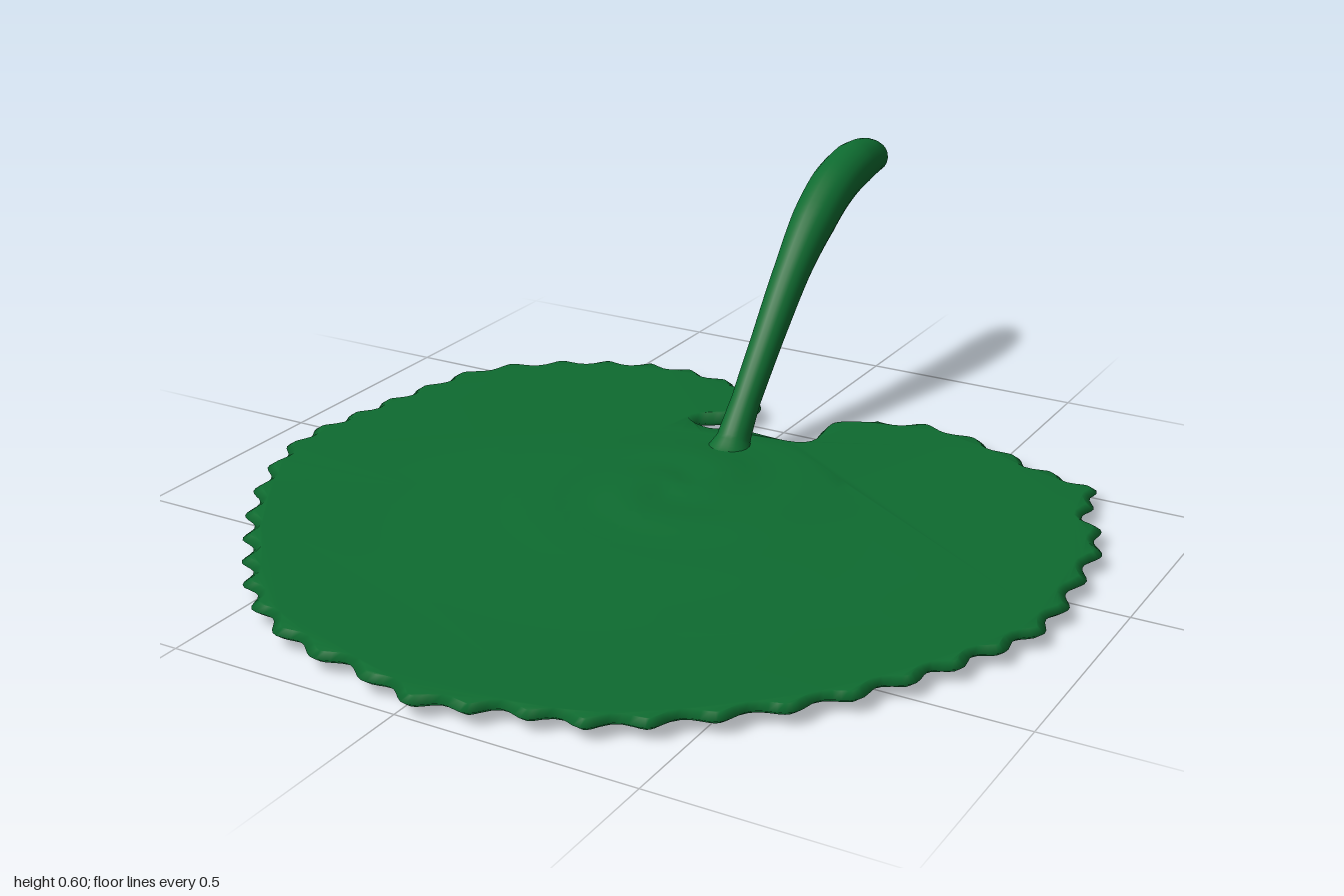
import * as THREE from 'three';
import { mergeVertices } from 'three/addons/utils/BufferGeometryUtils.js';

const green = new THREE.MeshStandardMaterial({ color: 0x0e6b30, roughness: 0.8 });

// Leaf outline (x, z): starts right of the notch, runs round the front and back into the notch
const OUTLINE = [
  [0.11, -0.37], [0.11, -0.52], [0.2, -0.58], [0.32, -0.62], [0.48, -0.58], [0.6, -0.52], [0.76, -0.46],
  [0.78, -0.35], [0.85, -0.24], [0.88, -0.05], [0.89, 0.19], [0.83, 0.35], [0.77, 0.47], [0.66, 0.64],
  [0.52, 0.78], [0.36, 0.9], [0.2, 0.94], [0.04, 0.99], [-0.12, 0.95], [-0.28, 0.92], [-0.46, 0.82],
  [-0.64, 0.62], [-0.75, 0.47], [-0.84, 0.3], [-0.89, 0.13], [-0.87, -0.05], [-0.84, -0.22],
  [-0.79, -0.41], [-0.68, -0.53], [-0.55, -0.61], [-0.38, -0.66], [-0.2, -0.63], [-0.08, -0.54],
  [-0.085, -0.45], [-0.165, -0.38], [-0.1, -0.34], [-0.05, -0.365],
];

// Shift every point of a closed loop along its outward normal
function offsetLoop(loop, amount) {
  const n = loop.length;
  return loop.map((p, i) => {
    const t = loop[(i + 1) % n].clone().sub(loop[(i + n - 1) % n]).normalize();
    const d = amount(i / n, p);
    return new THREE.Vector2(p.x + t.y * d, p.y - t.x * d);
  });
}

// Gently domed and rippled upper surface
function topHeight(x, z) {
  const r = Math.hypot(x, z);
  const ripple = 0.003 * Math.sin(r * 30 + 2 * Math.atan2(z, x)) * Math.exp(-r * r * 10);
  return 0.024 + 0.027 * Math.exp(-((r / 0.45) ** 2)) + ripple;
}

function leafGeometry() {
  const curve = new THREE.CatmullRomCurve3(
    OUTLINE.map(([x, z]) => new THREE.Vector3(x, z, 0)), true, 'centripetal');
  const smooth = curve.getSpacedPoints(440).slice(0, -1).map(p => new THREE.Vector2(p.x, p.y));

  // Scalloped margin, fading out inside the notch
  const edge = offsetLoop(smooth, (u, p) => {
    const inNotch = Math.abs(p.x) < 0.19 && p.y < 0;
    const a = u * Math.PI * 2;
    return inNotch ? 0 : 0.012 * Math.sin(52 * a + 0.8 * Math.sin(7 * a));
  });
  const inset = offsetLoop(edge, () => -0.016);

  const positions = [];
  const top = p => [p.x, topHeight(p.x, p.y), p.y];
  const rim = p => [p.x, 0.014, p.y];
  const under = p => [p.x, 0.002, p.y];

  // Add a triangle that faces up (dir 1) or down (dir -1)
  function tri(a, b, c, dir) {
    const ny = (b[2] - a[2]) * (c[0] - a[0]) - (b[0] - a[0]) * (c[2] - a[2]);
    positions.push(...a, ...(ny * dir > 0 ? [...b, ...c] : [...c, ...b]));
  }
  function band(a, b, fa, fb, dir) {
    a.forEach((p, i) => {
      const j = (i + 1) % a.length;
      tri(fa(p), fa(a[j]), fb(b[i]), dir);
      tri(fa(a[j]), fb(b[j]), fb(b[i]), dir);
    });
  }
  function sheet(contour, holes, f, dir) {
    const all = [contour, ...holes].flat();
    for (const [a, b, c] of THREE.ShapeUtils.triangulateShape(contour, holes)) {
      tri(f(all[a]), f(all[b]), f(all[c]), dir);
    }
  }

  // Rounded margin, underside, then upper blade around a ringed centre
  band(edge, inset, rim, top, 1);
  band(edge, inset, rim, under, -1);
  sheet(inset, [], under, -1);
  const ring = r => Array.from({ length: 64 }, (_, i) => {
    const a = -i / 64 * Math.PI * 2;
    return new THREE.Vector2(r * Math.cos(a), 0.2 + r * Math.sin(a));
  });
  const rings = Array.from({ length: 16 }, (_, k) => ring(0.5 * (1 - k / 16)));
  sheet(inset, [rings[0]], top, 1);
  for (let k = 0; k < 15; k++) band(rings[k], rings[k + 1], top, top, 1);
  sheet(rings[15], [], top, 1);

  const g = new THREE.BufferGeometry();
  g.setAttribute('position', new THREE.Float32BufferAttribute(positions, 3));
  const merged = mergeVertices(g, 1e-5);
  merged.computeVertexNormals();
  return merged;
}

// Curved stalk: each point is [z, y, radius]
const STALK = [
  [-0.255, 0.015, 0.06], [-0.275, 0.05, 0.038], [-0.33, 0.12, 0.033], [-0.43, 0.235, 0.036],
  [-0.55, 0.365, 0.042], [-0.65, 0.45, 0.051], [-0.75, 0.508, 0.054], [-0.85, 0.533, 0.054],
  [-0.92, 0.535, 0.047], [-0.97, 0.526, 0.036], [-0.992, 0.522, 0.024], [-0.999, 0.52, 0],
];

function stalkGeometry() {
  const path = new THREE.CatmullRomCurve3(STALK.map(([z, y]) => new THREE.Vector3(-0.01, y, z)));
  const rows = 66, sides = 20, last = STALK.length - 1;
  // Sample by control-point parameter so the radii line up with the path
  path.getPointAt = (u, target) => path.getPoint(u, target);
  path.getTangentAt = (u, target) => path.getTangent(u, target);
  const g = new THREE.TubeGeometry(path, rows, 1, sides, false);
  const pos = g.attributes.position, v = new THREE.Vector3();
  for (let i = 0; i < pos.count; i++) {
    const u = Math.floor(i / (sides + 1)) / rows;
    const k = Math.min(Math.floor(u * last), last - 1);
    const r = THREE.MathUtils.lerp(STALK[k][2], STALK[k + 1][2], u * last - k);
    const c = path.getPoint(u);
    v.fromBufferAttribute(pos, i).sub(c).multiplyScalar(r).add(c);
    pos.setXYZ(i, v.x, v.y, v.z);
  }
  g.deleteAttribute('uv');
  g.deleteAttribute('normal');
  const merged = mergeVertices(g, 1e-5);
  merged.computeVertexNormals();
  return merged;
}

export function createModel() {
  const model = new THREE.Group();
  model.name = 'lilyPad';
  const leaf = new THREE.Mesh(leafGeometry(), green);
  leaf.name = 'leaf';
  const stalk = new THREE.Mesh(stalkGeometry(), green);
  stalk.name = 'stalk';
  model.add(leaf, stalk);
  return model;
}
